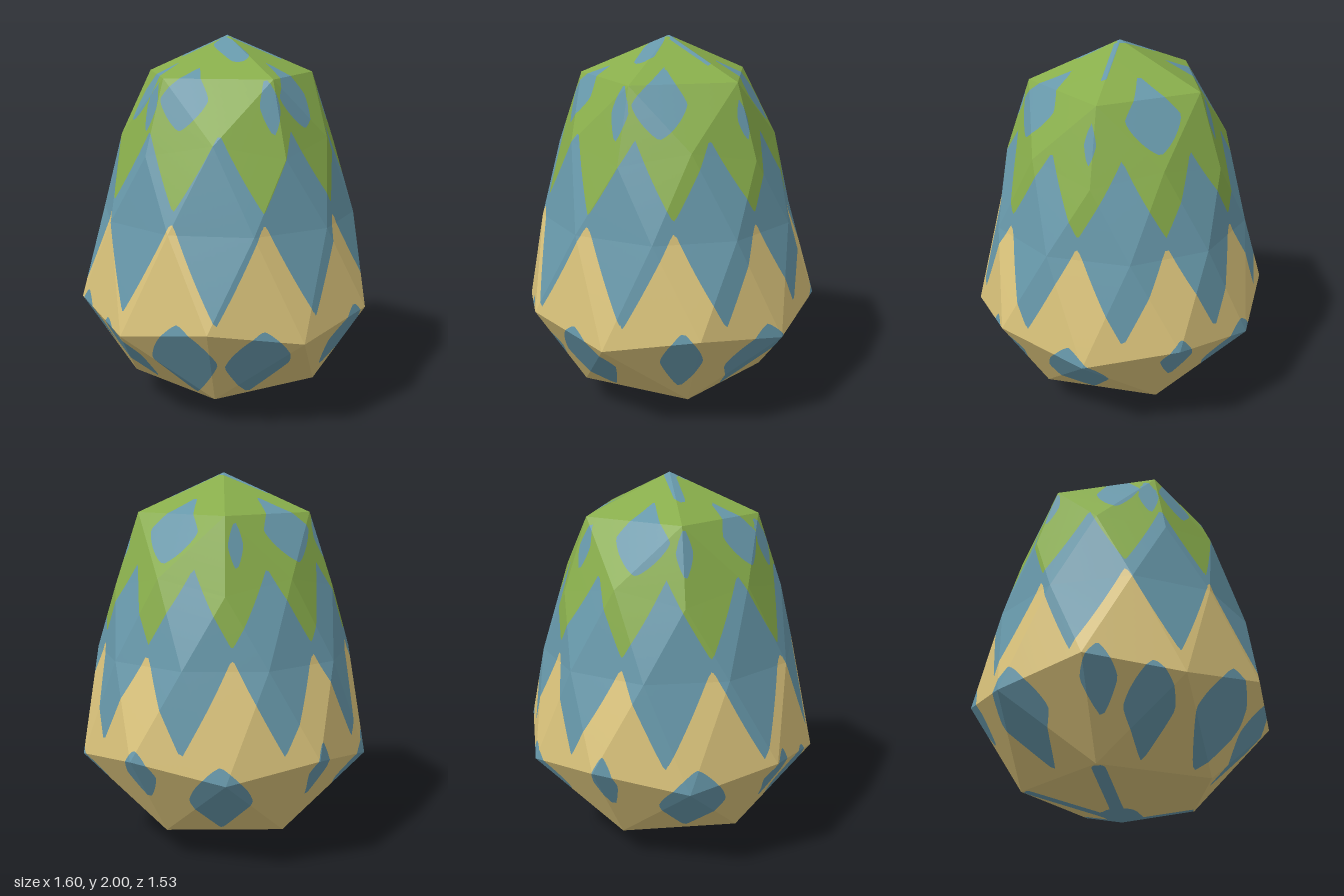
import * as THREE from 'three';

const DEG = Math.PI / 180;

// ---- Faceted egg: rings of an icosphere pulled into an egg profile ----
const ring = (count, start, at) => Array.from({ length: count }, (_, i) => {
  const [r, y] = at(i);
  const t = (start + (360 / count) * i) * DEG;
  return new THREE.Vector3(r * Math.cos(t), y, r * Math.sin(t));
});

function eggFaces() {
  const foot = new THREE.Vector3(0, 0, 0), tip = new THREE.Vector3(0, 2, 0);
  const r1 = ring(5, 36, () => [0.52, 0.15]);
  const r2 = ring(10, 0, i => (i % 2 ? [0.805, 0.6] : [0.795, 0.52]));
  const r3 = ring(10, 18, () => [0.69, 1.06]);
  const r4 = ring(10, 0, i => (i % 2 ? [0.57, 1.49] : [0.6, 1.42]));
  const r5 = ring(5, 0, () => [0.47, 1.8]);
  const at = (r, i) => r[(i + r.length) % r.length];
  const faces = [];
  for (let k = 0; k < 5; k++) {
    faces.push([foot, r1[k], at(r1, k + 1)], [tip, r5[k], at(r5, k + 1)]);
    const j = 2 * k;
    faces.push([r1[k], r2[j], r2[j + 1]], [r1[k], r2[j + 1], at(r2, j + 2)],
      [r1[k], at(r1, k + 1), at(r2, j + 2)]);
    faces.push([r5[k], at(r4, j - 1), r4[j]], [r5[k], r4[j], r4[j + 1]],
      [r5[k], at(r5, k + 1), r4[j + 1]]);
  }
  for (let j = 0; j < 10; j++) {
    faces.push([r2[j], at(r2, j + 1), r3[j]], [at(r2, j + 1), r3[j], at(r3, j + 1)],
      [r3[j], r4[j], at(r4, j + 1)], [r3[j], at(r3, j + 1), at(r4, j + 1)]);
  }
  // wind every face outwards
  const heart = new THREE.Vector3(0, 1, 0);
  return faces.map(([a, b, c]) => {
    const n = b.clone().sub(a).cross(c.clone().sub(a));
    return n.dot(a.clone().sub(heart)) > 0 ? [a, b, c] : [a, c, b];
  });
}

// ---- Colour pattern: signed fields, positive inside ----
const azimuth = p => Math.atan2(p.x, p.z) / DEG;
const wrap = a => ((a % 360) + 540) % 360 - 180;

// nine teeth around: 1 at a tooth centre, 0 midway between teeth
const tooth = p => {
  const a = azimuth(p) - 5;
  return 1 - Math.abs(a - 40 * Math.round(a / 40)) / 20;
};

// softened diamond on the side: [azimuth, height, half width in degrees, half height]
const diamond = (p, [az, y, w, h]) => {
  const u = Math.abs(wrap(azimuth(p) - az)) / w, v = Math.abs(p.y - y) / h;
  return 0.15 * (1 - Math.pow(Math.pow(u, 1.25) + Math.pow(v, 1.25), 0.8));
};

// rounded stroke seen along the axis: [x1, z1, x2, z2, half width]
const stroke = (p, [x1, z1, x2, z2, w]) => {
  const dx = x2 - x1, dz = z2 - z1;
  const t = THREE.MathUtils.clamp(((p.x - x1) * dx + (p.z - z1) * dz) / (dx * dx + dz * dz), 0, 1);
  return w - Math.hypot(p.x - x1 - t * dx, p.z - z1 - t * dz);
};

const crownDiamonds = [
  [38, 1.71, 17, 0.16], [126, 1.72, 19, 0.16], [208, 1.72, 19, 0.16],
  [-80, 1.72, 15, 0.15], [-38, 1.7, 15, 0.15],
  [14, 1.67, 6, 0.14], [88, 1.62, 3.5, 0.1], [168, 1.66, 4.5, 0.12],
  [235, 1.67, 5, 0.12], [-60, 1.66, 6, 0.13],
];
const crownStrokes = [
  [0.03, 0.01, 0.29, 0.01, 0.014], [-0.2, -0.12, -0.01, -0.01, 0.03], [-0.03, 0.08, 0.02, 0.2, 0.055],
];
const baseDiamonds = [
  [-30, 0.4, 15, 0.23], [3, 0.38, 15, 0.22], [48, 0.45, 9, 0.19], [84, 0.38, 15, 0.23],
  [127, 0.52, 7, 0.14], [160, 0.39, 14, 0.22], [201, 0.53, 5, 0.16], [237, 0.41, 15, 0.23],
  [275, 0.5, 7, 0.16], [295, 0.38, 11, 0.2],
];
const baseStrokes = [36, 180, 252, 324].map(t =>
  [0, 0, 0.47 * Math.cos(t * DEG), 0.47 * Math.sin(t * DEG), 0.035]);
baseStrokes.push([-0.02, 0, 0.02, 0, 0.1]);

const marks = (p, diamonds, strokes) => Math.max(
  ...diamonds.map(d => diamond(p, d)), ...strokes.map(s => stroke(p, s)));

const crownField = p => Math.min(p.y - (1.55 - 0.385 * tooth(p)), -marks(p, crownDiamonds, crownStrokes));
const baseField = p => Math.min(Math.min(0.635 + 0.49 * tooth(p), 1.11) - p.y,
  -marks(p, baseDiamonds, baseStrokes));

// keep the part of a polygon where sign * field is positive
function clip(poly, key, sign) {
  const out = [];
  poly.forEach((a, i) => {
    const b = poly[(i + 1) % poly.length];
    const fa = sign * a[key], fb = sign * b[key];
    if (fa >= 0) out.push(a);
    if ((fa > 0 && fb < 0) || (fa < 0 && fb > 0)) {
      const t = fa / (fa - fb);
      out.push({
        p: a.p.clone().lerp(b.p, t),
        crown: THREE.MathUtils.lerp(a.crown, b.crown, t),
        base: THREE.MathUtils.lerp(a.base, b.base, t),
      });
    }
  });
  return out;
}

export function createModel() {
  const parts = { crown: [], band: [], base: [] };
  const add = (name, poly) => {
    for (let i = 1; i + 1 < poly.length; i++) {
      for (const v of [poly[0], poly[i], poly[i + 1]]) parts[name].push(v.p.x, v.p.y, v.p.z);
    }
  };

  // divide each flat facet finely and cut it along the colour borders
  const N = 20;
  for (const [a, b, c] of eggFaces()) {
    const grid = [];
    for (let i = 0; i <= N; i++) {
      grid.push([]);
      for (let j = 0; j <= N - i; j++) {
        const p = a.clone().multiplyScalar((N - i - j) / N)
          .addScaledVector(b, i / N).addScaledVector(c, j / N);
        grid[i].push({ p, crown: crownField(p), base: baseField(p) });
      }
    }
    const cut = tri => {
      add('crown', clip(tri, 'crown', 1));
      const rest = clip(tri, 'crown', -1);
      add('base', clip(rest, 'base', 1));
      add('band', clip(rest, 'base', -1));
    };
    for (let i = 0; i < N; i++) {
      for (let j = 0; j < N - i; j++) {
        cut([grid[i][j], grid[i + 1][j], grid[i][j + 1]]);
        if (j < N - i - 1) cut([grid[i + 1][j], grid[i + 1][j + 1], grid[i][j + 1]]);
      }
    }
  }

  const group = new THREE.Group();
  group.name = 'egg';
  const colours = { crown: ['leafGreen', 0x88ad4b], band: ['dustyBlue', 0x6798aa], base: ['sand', 0xdac37b] };
  for (const [name, [label, hex]] of Object.entries(colours)) {
    const geometry = new THREE.BufferGeometry();
    geometry.setAttribute('position', new THREE.Float32BufferAttribute(parts[name], 3));
    geometry.computeVertexNormals();
    const material = new THREE.MeshStandardMaterial({ color: hex });
    material.name = label;
    const mesh = new THREE.Mesh(geometry, material);
    mesh.name = name;
    group.add(mesh);
  }
  return group;
}
